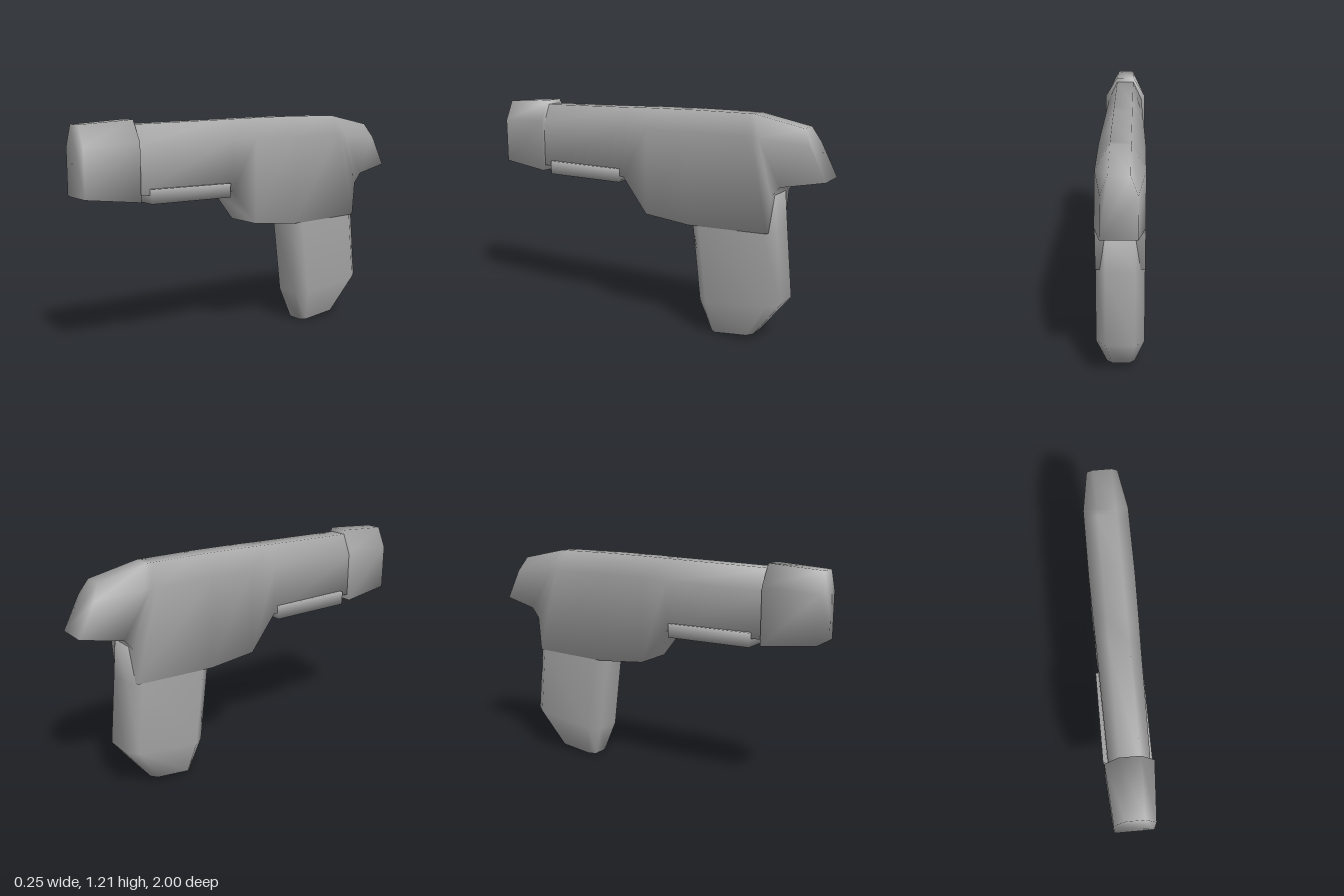
import * as THREE from 'three';

// Smooth skin over equal-length rings of [x, y, z], with a fan cap at each end.
function loft(rings) {
  const n = rings[0].length;
  const points = rings.flat();
  const index = [];
  for (let r = 0; r < rings.length - 1; r++) {
    for (let i = 0; i < n; i++) {
      const a = r * n + i, b = r * n + (i + 1) % n;
      index.push(a, b, a + n, b, b + n, a + n);
    }
  }
  const last = (rings.length - 1) * n;
  for (let i = 1; i < n - 1; i++) {
    index.push(0, i + 1, i, last, last + i, last + i + 1);
  }
  const geometry = new THREE.BufferGeometry();
  geometry.setAttribute('position', new THREE.Float32BufferAttribute(points.flat(), 3));
  geometry.setIndex(index);
  geometry.computeVertexNormals();
  return geometry;
}

// Upright section with a chamfered top; bottom and top may lean apart in z.
function uprightRing([zBottom, zTop, bottom, top, half, topHalf = 0.05, chamfer = 0.11]) {
  const shoulder = top - chamfer;
  const t = (shoulder - bottom) / (top - bottom);
  const zShoulder = zBottom + (zTop - zBottom) * t;
  return [
    [half, bottom, zBottom], [-half, bottom, zBottom],
    [-half, shoulder, zShoulder], [-topHalf, top, zTop],
    [topHalf, top, zTop], [half, shoulder, zShoulder],
  ];
}

// Level section of the grip with cut corners; front and back may differ in height.
function gripRing([zFront, yFront, zBack, yBack, half, cut]) {
  const y = (z) => yBack + (yFront - yBack) * (z - zBack) / (zFront - zBack);
  const p = (x, z) => [x, y(z), z];
  const inner = half * 0.6;
  return [
    p(inner, zFront), p(half, zFront - cut), p(half, zBack + cut), p(inner, zBack),
    p(-inner, zBack), p(-half, zBack + cut), p(-half, zFront - cut), p(-inner, zFront),
  ];
}

export function createModel() {
  const group = new THREE.Group();
  const grey = new THREE.MeshStandardMaterial({ color: 0xa6a6a6 });
  grey.name = 'plain grey';

  const add = (name, geometry) => {
    const mesh = new THREE.Mesh(geometry, grey);
    mesh.name = name;
    group.add(mesh);
  };

  // Long body, deepening into the lower frame and ending in a slanted tail
  add('body', loft([
    [0.74, 0.74, 0.835, 1.185, 0.1],
    [0.15, 0.15, 0.82, 1.2, 0.111],
    [0, 0, 0.63, 1.205, 0.115],
    [-0.27, -0.27, 0.605, 1.21, 0.12],
    [-0.72, -0.56, 0.62, 1.21, 0.12],
    [-0.735, -0.58, 0.81, 1.21, 0.12],
    [-0.78, -0.6, 0.865, 1.21, 0.12],
    [-1, -0.87, 0.905, 1.155, 0.085, 0.05, 0.08],
  ].map(uprightRing)));

  // Thicker front block
  add('frontBlock', loft([
    [1, 1, 0.835, 1.19, 0.1, 0.045],
    [0.71, 0.71, 0.803, 1.21, 0.12, 0.052],
  ].map(uprightRing)));

  // Handle, tapering at the foot
  add('grip', loft([
    [-0.38, 0.005, -0.63, 0.035, 0.072, 0.03],
    [-0.32, 0.18, -0.79, 0.24, 0.12, 0.06],
    [-0.27, 0.6, -0.753, 0.62, 0.12, 0.06],
    [-0.26, 0.8, -0.735, 0.83, 0.115, 0.06],
  ].map(gripRing)));

  // Bar slung under the front of the body
  const bar = (z) => [
    [0.122, 0.79, z], [-0.122, 0.79, z], [-0.125, 0.865, z], [0.125, 0.865, z],
  ];
  add('underBar', loft([bar(0.65), bar(0.175)]));

  return group;
}
